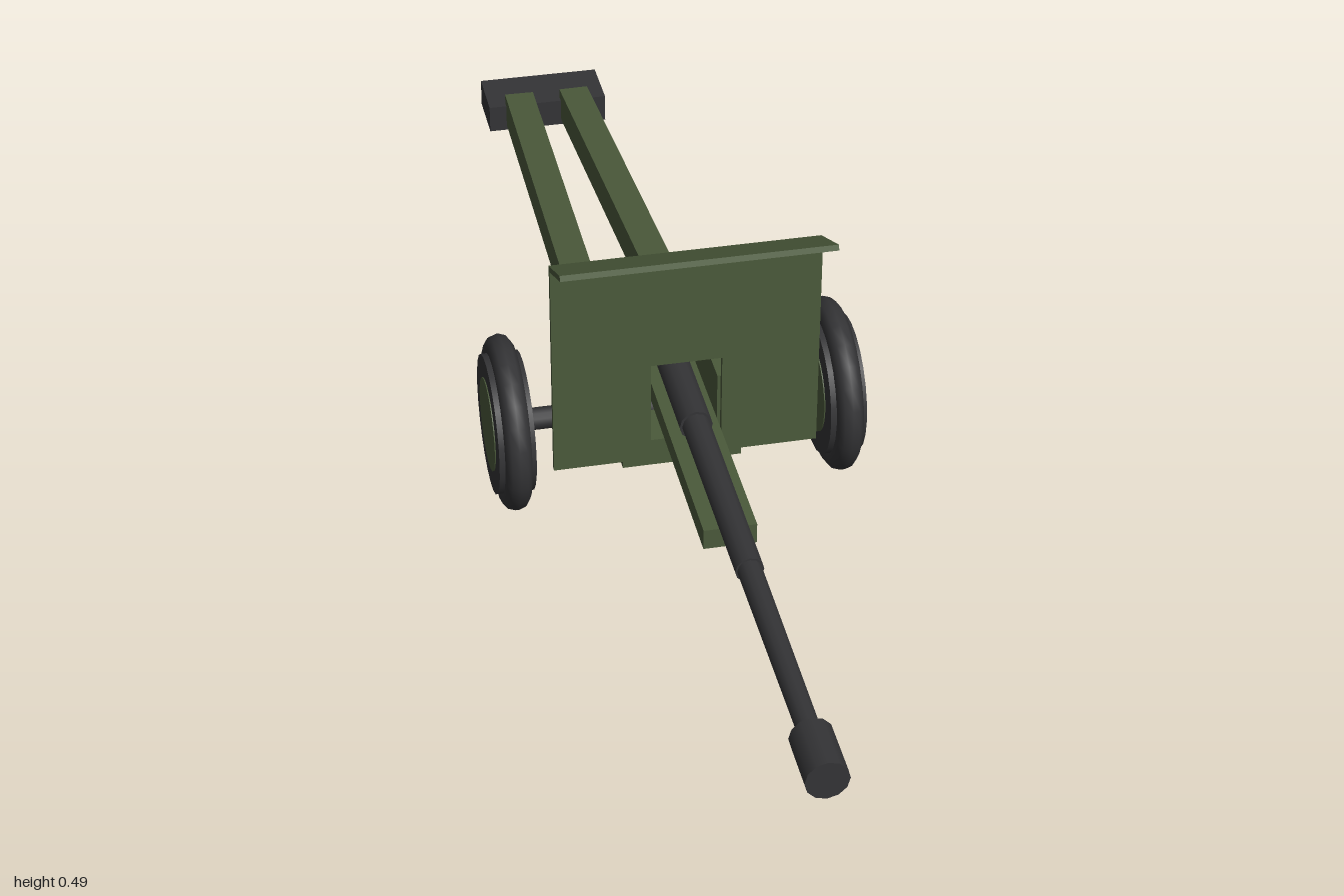
import * as THREE from 'three';

export function createModel() {
  const gun = new THREE.Group();
  gun.name = 'fieldGun';
  const green = new THREE.MeshStandardMaterial({ name: 'olive green', color: 0x4b5a3b });
  const dark = new THREE.MeshStandardMaterial({ name: 'dark steel', color: 0x343436 });

  const add = (name, geometry, material, x = 0, y = 0, z = 0, parent = gun) => {
    const mesh = new THREE.Mesh(geometry, material);
    mesh.name = name;
    mesh.position.set(x, y, z);
    parent.add(mesh);
    return mesh;
  };
  // Box given by its extents on each axis
  const box = (name, material, [x0, x1], [y0, y1], [z0, z1]) =>
    add(name, new THREE.BoxGeometry(x1 - x0, y1 - y0, z1 - z0), material,
      (x0 + x1) / 2, (y0 + y1) / 2, (z0 + z1) / 2);
  // Cylinder along z from z0 (back) to z1 (front)
  const rod = (name, material, y, z0, z1, back, front, sides) =>
    add(name, new THREE.CylinderGeometry(front, back, z1 - z0, sides).rotateX(Math.PI / 2),
      material, 0, y, (z0 + z1) / 2);

  // Barrel, muzzle brake and breech
  rod('barrel', dark, 0.208, 0.04, 0.93, 0.019, 0.015, 12);
  rod('barrelJacket', dark, 0.208, 0.04, 0.6, 0.02, 0.019, 12);
  rod('barrelCollar', dark, 0.208, 0.04, 0.28, 0.023, 0.023, 12);
  rod('muzzleBrake', dark, 0.208, 0.92, 1.0, 0.028, 0.028, 12);
  box('breech', dark, [-0.039, 0.039], [0.17, 0.245], [0, 0.085]);

  // Cradle and recoil cylinder
  box('cradle', green, [-0.036, 0.036], [0.163, 0.193], [0.03, 0.49]);
  rod('recoilCylinder', green, 0.146, 0.05, 0.435, 0.021, 0.021, 10);

  // Lower carriage
  box('carriageBase', green, [-0.085, 0.085], [0.083, 0.13], [0.03, 0.19]);
  add('axle', new THREE.CylinderGeometry(0.016, 0.016, 0.44, 12).rotateZ(Math.PI / 2),
    dark, 0, 0.128, 0.11);

  // Shield with barrel opening
  const plate = new THREE.Shape([[-0.187, 0.113], [0.187, 0.113], [0.187, 0.44], [-0.187, 0.44]]
    .map(([x, y]) => new THREE.Vector2(x, y)));
  plate.holes.push(new THREE.Path([[-0.05, 0.145], [-0.05, 0.27], [0.05, 0.27], [0.05, 0.145]]
    .map(([x, y]) => new THREE.Vector2(x, y))));
  add('shield', new THREE.ExtrudeGeometry(plate, { depth: 0.008, bevelEnabled: false }),
    green, 0, 0, 0.208);

  // Forward-leaning top flap
  const flap = add('shieldFlap', new THREE.BoxGeometry(0.374, 0.008, 0.098), green, 0, 0.462, 0.252);
  flap.rotation.x = -0.43;

  for (const side of [1, -1]) {
    const sideName = side > 0 ? 'left' : 'right';

    // Cheek beside the cradle
    add(sideName + 'Cheek', new THREE.BoxGeometry(0.027, 0.122, 0.16), green, side * 0.063, 0.161, 0.11);

    // Trail leg sloping down to the spade
    const start = new THREE.Vector3(side * 0.07, 0.105, 0.025);
    const end = new THREE.Vector3(side * 0.047, 0.035, -0.915);
    const leg = add(sideName + 'Trail', new THREE.BoxGeometry(0.048, 0.054, start.distanceTo(end)), green);
    leg.position.copy(start).add(end).multiplyScalar(0.5);
    leg.lookAt(start);

    // Wheel: tyre, rim and hub disc
    const wheel = new THREE.Group();
    wheel.name = sideName + 'Wheel';
    wheel.position.set(side * 0.236, 0.128, 0.11);
    gun.add(wheel);
    const drum = (r, w) => new THREE.CylinderGeometry(r, r, w, 24).rotateZ(Math.PI / 2);
    add('tyre', new THREE.TorusGeometry(0.107, 0.019, 10, 24).rotateY(Math.PI / 2), dark, 0, 0, 0, wheel);
    add('rim', drum(0.1, 0.052), dark, 0, 0, 0, wheel);
    add('hubDisc', drum(0.067, 0.055), green, 0, 0, 0, wheel);
  }

  // Spade at the end of the trails
  box('spade', dark, [-0.1, 0.1], [0, 0.046], [-1, -0.905]);

  return gun;
}
